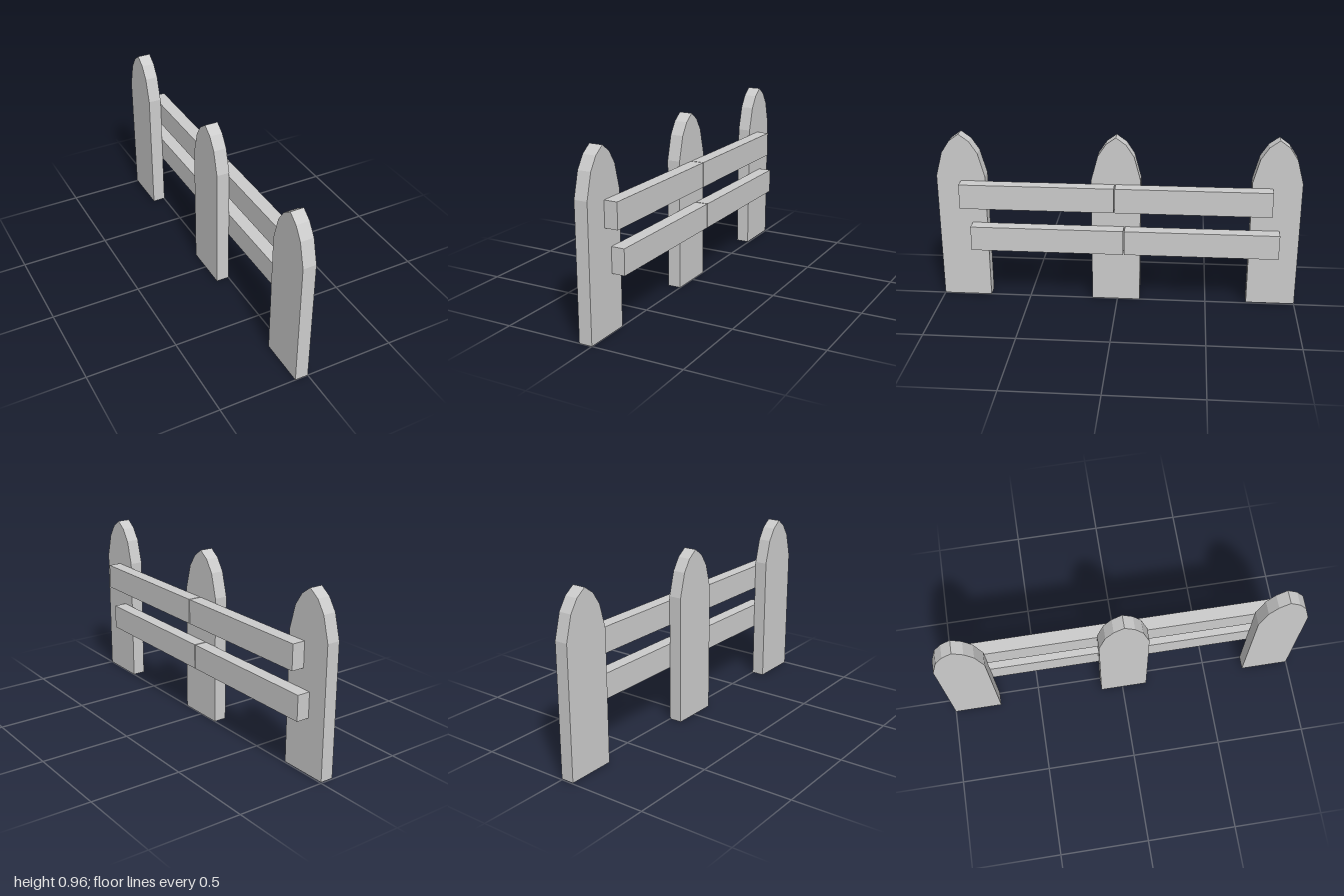
import * as THREE from 'three';

export function createModel() {
  const group = new THREE.Group();
  group.name = 'fence';
  const material = new THREE.MeshStandardMaterial({ color: 0xcccccc, flatShading: true });
  const thickness = 0.073;

  // Picket outline: straight sides with a faceted pointed top
  const half = [[0.135, 0], [0.135, 0.72], [0.099, 0.853], [0.055, 0.92]];
  const outline = [
    ...half,
    [0, 0.96],
    ...half.map(([w, y]) => [-w, y]).reverse(),
  ].map(([w, y]) => new THREE.Vector2(w, y));
  const postGeometry = new THREE.ExtrudeGeometry(new THREE.Shape(outline), {
    depth: thickness,
    bevelEnabled: false,
  });
  postGeometry.rotateY(Math.PI / 2);

  // Three posts, the rear one set slightly higher
  const posts = [['frontPost', 0.865, 0], ['middlePost', 0.008, 0], ['backPost', -0.865, 0.005]];
  for (const [name, z, y] of posts) {
    const post = new THREE.Mesh(postGeometry, material);
    post.name = name;
    post.position.set(-thickness, y, z);
    group.add(post);
  }

  // Two rows of rails, each split in two at the middle post
  const rails = [
    ['upperFrontRail', 0.625, 0.864, 0.015],
    ['upperBackRail', 0.625, 0.009, -0.841],
    ['lowerFrontRail', 0.378, 0.812, -0.037],
    ['lowerBackRail', 0.378, -0.043, -0.89],
  ];
  for (const [name, y, z1, z2] of rails) {
    const rail = new THREE.Mesh(new THREE.BoxGeometry(thickness, 0.139, z1 - z2), material);
    rail.name = name;
    rail.position.set(thickness / 2, y, (z1 + z2) / 2);
    group.add(rail);
  }

  return group;
}
